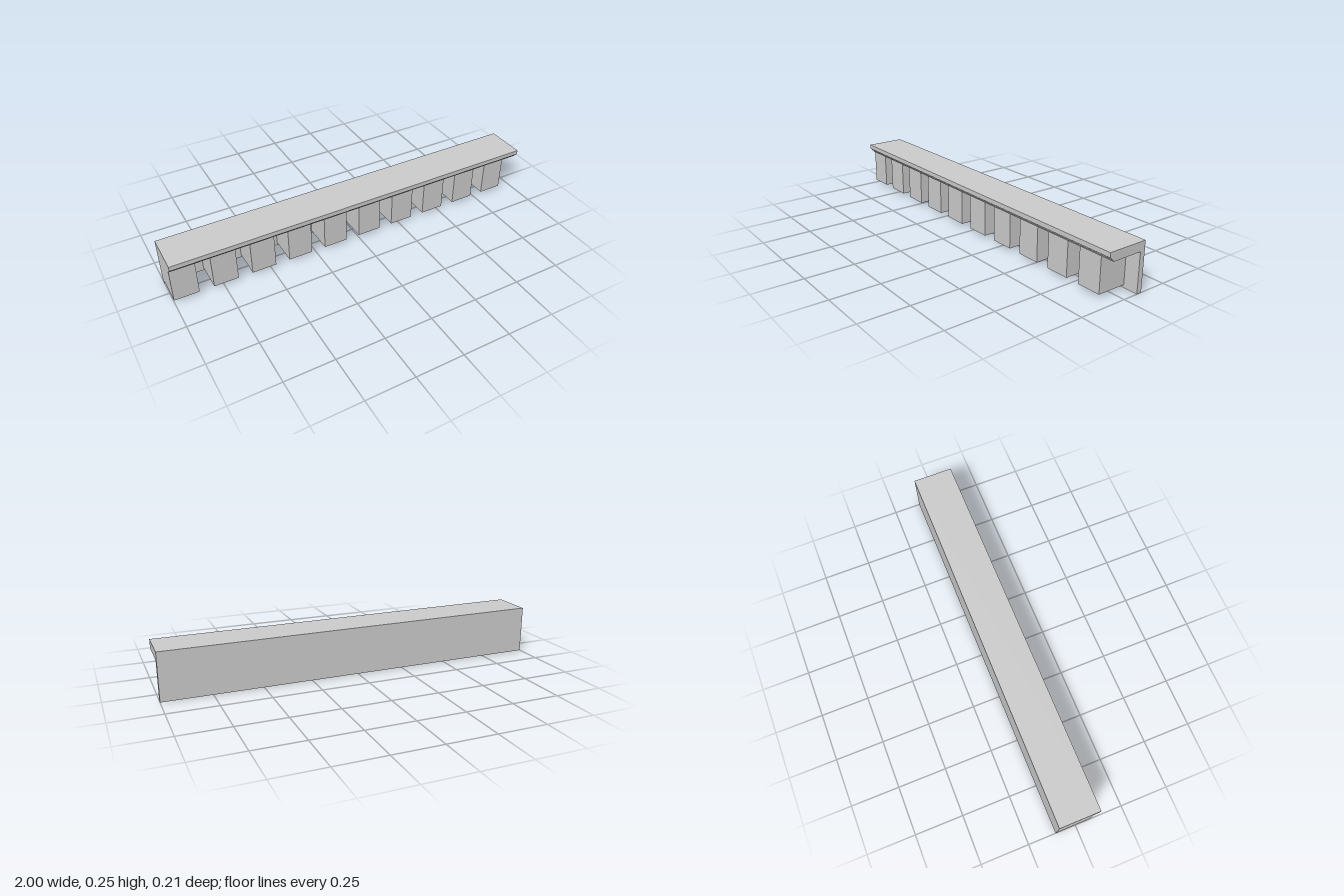
import * as THREE from 'three';

export function createModel() {
  const group = new THREE.Group();
  const material = new THREE.MeshStandardMaterial({ color: 0xcccccc, flatShading: true });

  // Moulding profile drawn as (z, y): back board, overhanging top and two small coves
  const profile = new THREE.Shape();
  profile.moveTo(-0.106, 0);
  profile.lineTo(-0.079, 0);
  profile.lineTo(-0.079, 0.2);
  profile.lineTo(0.084, 0.2);
  profile.quadraticCurveTo(0.084, 0.208, 0.095, 0.211);
  profile.quadraticCurveTo(0.097, 0.221, 0.106, 0.223);
  profile.lineTo(0.106, 0.247);
  profile.lineTo(-0.106, 0.247);
  profile.closePath();

  const corniceGeometry = new THREE.ExtrudeGeometry(profile, {
    depth: 2, bevelEnabled: false, curveSegments: 5,
  });
  corniceGeometry.rotateY(-Math.PI / 2).translate(1, 0, 0);
  const cornice = new THREE.Mesh(corniceGeometry, material);
  cornice.name = 'cornice';
  group.add(cornice);

  // Row of dentil blocks, starting flush with the right end
  const dentils = new THREE.Group();
  dentils.name = 'dentils';
  const width = 0.126, pitch = 0.1998;
  const blockGeometry = new THREE.BoxGeometry(width, 0.185, 0.154);
  for (let i = 0; i < 10; i++) {
    const dentil = new THREE.Mesh(blockGeometry, material);
    dentil.name = `dentil${i + 1}`;
    dentil.position.set(-1 + width / 2 + i * pitch, 0.1075, -0.002);
    dentils.add(dentil);
  }
  group.add(dentils);

  return group;
}
